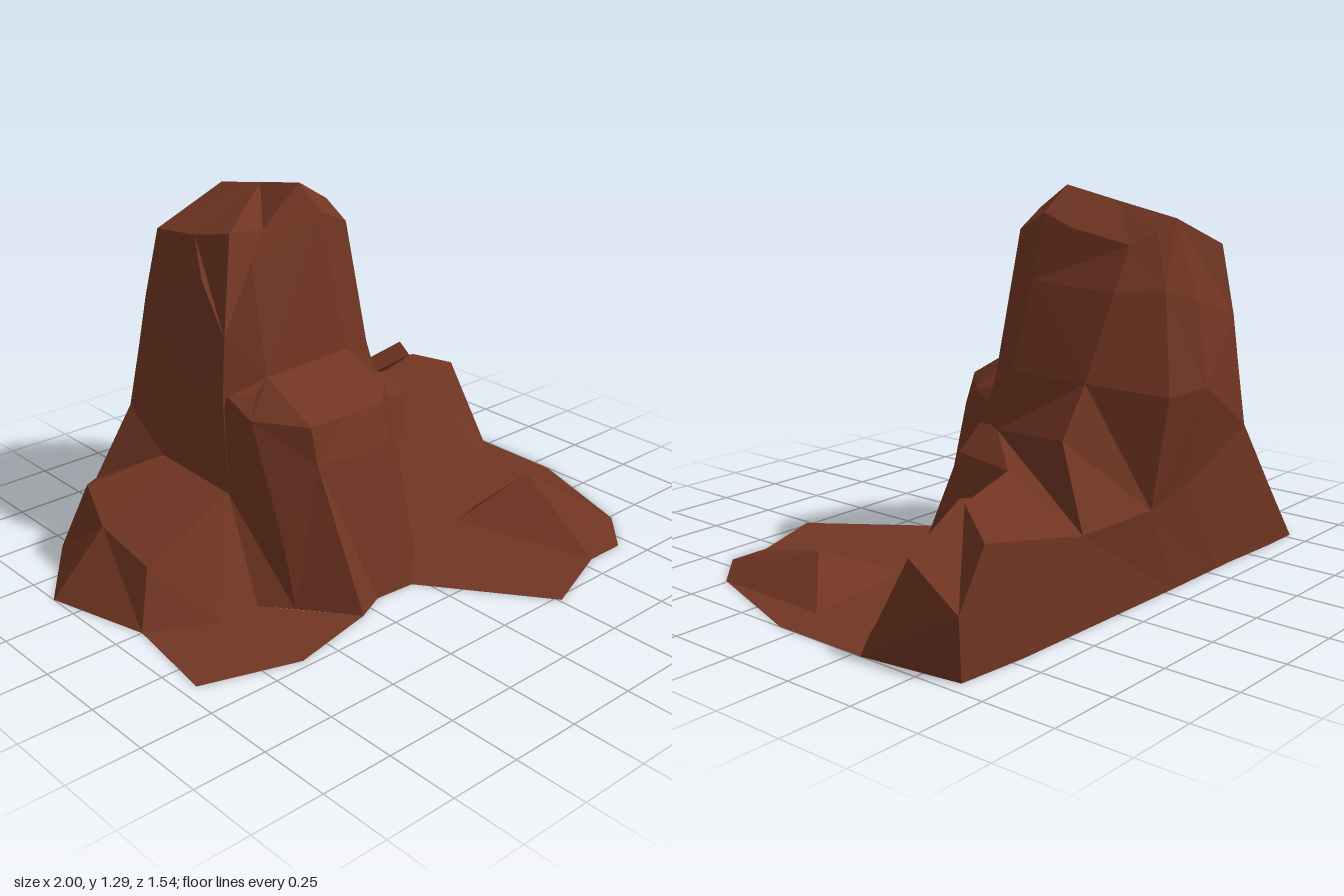
import * as THREE from 'three';

const rock = new THREE.MeshStandardMaterial({ color: 0x713522, flatShading: true, side: THREE.DoubleSide });

// Skin a stack of closed [x, y, z] loops (anticlockwise from above), closed by a fan to the apex.
// Faces for which open(row, column) is true are left out, where one mass runs into another.
function loft(name, loops, apex, open = () => false) {
  const out = [];
  const n = loops[0].length;
  for (let i = 0; i < loops.length; i++) {
    for (let j = 0; j < n; j++) {
      if (open(i, j)) continue;
      const k = (j + 1) % n;
      const a = loops[i][j], b = loops[i][k];
      if (i === loops.length - 1) {
        out.push(...a, ...b, ...apex);
      } else {
        const c = loops[i + 1][k], d = loops[i + 1][j];
        // alternate the diagonal for an irregular, chipped surface
        if ((i + j) % 2) out.push(...a, ...b, ...c, ...a, ...c, ...d);
        else out.push(...a, ...b, ...d, ...b, ...c, ...d);
      }
    }
  }
  const g = new THREE.BufferGeometry();
  g.setAttribute('position', new THREE.Float32BufferAttribute(out, 3));
  g.computeVertexNormals();
  const mesh = new THREE.Mesh(g, rock);
  mesh.name = name;
  return mesh;
}

// A loop lying on the ground, from [x, z] pairs
const ground = (pairs) => pairs.map(([x, z]) => [x, 0, z]);

export function createModel() {
  const model = new THREE.Group();
  model.name = 'rockOutcrop';

  // Tall central peak, overhanging slightly at the back, open where the lower masses join it
  model.add(loft('mainPeak', [
    [[-0.5, 0, 0.1], [-0.33, 0, 0.14], [0, 0, 0.15], [0.16, 0, 0.16], [0.41, 0.44, -0.34],
      [0.43, 0.3, -0.65], [-0.04, 0, -0.66], [-0.3, 0, -0.66], [-0.4, 0, -0.66], [-0.5, 0, -0.2]],
    [[-0.49, 0.34, -0.06], [-0.33, 0.48, 0.04], [0.02, 0.48, 0.04], [0.19, 0.45, -0.03], [0.31, 0.53, -0.21],
      [0.38, 0.56, -0.53], [0.12, 0.31, -0.68], [-0.06, 0.36, -0.69], [-0.47, 0.47, -0.65], [-0.51, 0.37, -0.4]],
    [[-0.47, 0.66, -0.1], [-0.33, 0.72, -0.04], [0.02, 0.73, -0.04], [0.15, 0.68, -0.07], [0.27, 0.72, -0.24],
      [0.27, 0.72, -0.53], [0.12, 0.68, -0.74], [-0.04, 0.69, -0.77], [-0.42, 0.68, -0.65], [-0.47, 0.66, -0.24]],
    [[-0.44, 0.86, -0.12], [-0.33, 1.1, -0.11], [-0.03, 1.21, -0.11], [0.1, 1.15, -0.13], [0.17, 1.0, -0.24],
      [0.17, 0.99, -0.56], [0.08, 1.0, -0.69], [-0.04, 0.96, -0.73], [-0.38, 0.86, -0.65], [-0.44, 1.03, -0.23]],
    [[-0.33, 1.17, -0.22], [-0.19, 1.16, -0.22], [-0.03, 1.29, -0.22], [0.1, 1.21, -0.23], [0.11, 1.17, -0.35],
      [0.09, 1.13, -0.56], [0.03, 1.17, -0.62], [-0.03, 1.21, -0.65], [-0.33, 1.1, -0.63], [-0.34, 1.13, -0.4]],
  ], [-0.03, 1.25, -0.43], (i, j) => (i === 0 && (j < 4 || j > 7)) || (i === 1 && j < 2)));

  // Lower buttress leaning on the front of the peak
  model.add(loft('frontButtress', [
    ground([[-0.52, 0.12], [-0.44, 0.22], [-0.3, 0.4], [-0.19, 0.35], [-0.04, 0.36], [0.15, 0.18], [0.2, -0.04]]),
    [[-0.49, 0.34, -0.06], [-0.44, 0.2, 0.17], [-0.33, 0.49, 0.21], [-0.19, 0.48, 0.23], [-0.03, 0.49, 0.23],
      [0.1, 0.5, 0.1], [0.17, 0.45, -0.02]],
    [[-0.45, 0.61, -0.12], [-0.44, 0.61, 0.01], [-0.33, 0.61, 0.18], [-0.19, 0.61, 0.18], [-0.02, 0.61, 0.18],
      [0.13, 0.6, 0.04], [0.16, 0.56, -0.06]],
    [[-0.44, 0.66, -0.12], [-0.38, 0.67, -0.04], [-0.33, 0.72, -0.04], [-0.19, 0.72, -0.04], [0.02, 0.73, -0.04],
      [0.08, 0.66, -0.04], [0.13, 0.62, -0.08]],
  ], [-0.18, 0.73, -0.1], (i, j) => j === 6));

  // Small spur between the buttress and the right ledge
  model.add(loft('rightSpur', [
    ground([[0.15, 0.18], [0.41, 0.09], [0.43, -0.2], [0.15, -0.2]]),
    [[0.16, 0.17, 0.08], [0.4, 0.14, 0.02], [0.42, 0.22, -0.25], [0.2, 0.3, -0.1]],
    [[0.19, 0.5, -0.03], [0.37, 0.45, -0.1], [0.41, 0.44, -0.34], [0.28, 0.54, -0.2]],
  ], [0.31, 0.53, -0.21], (i, j) => j > 1 && i < 2));

  // Broad flat-topped ledge on the right, its back wall running on behind the peak
  model.add(loft('rightLedge', [
    ground([[0.4, -0.17], [0.62, -0.17], [0.85, -0.17], [1, -0.28], [0.95, -0.63], [0.7, -0.65], [-0.04, -0.66]]),
    [[0.41, 0.44, -0.34], [0.55, 0.4, -0.4], [0.7, 0.43, -0.4], [0.95, 0.32, -0.43], [0.96, 0.2, -0.63],
      [0.85, 0.38, -0.63], [0.43, 0.3, -0.65]],
  ], [0.7, 0.42, -0.42], (i, j) => i === 0 && j === 6));

  // Low sloping lobe on the left
  model.add(loft('leftLobe', [
    ground([[-0.9, 0], [-0.68, 0.12], [-0.52, 0.12], [-0.4, -0.66], [-0.62, -0.67], [-0.78, -0.67], [-1, -0.37]]),
    [[-0.82, 0.18, -0.07], [-0.66, 0.26, -0.06], [-0.49, 0.34, -0.06], [-0.47, 0.47, -0.65], [-0.62, 0.22, -0.67],
      [-0.75, 0.29, -0.52], [-0.81, 0.22, -0.34]],
  ], [-0.51, 0.37, -0.4], (i, j) => i === 0 && j === 2));

  // Flat ground aprons at the front
  model.add(loft('rightApron', [
    ground([[0.26, 0.77], [0.55, 0.66], [0.7, 0.66], [0.85, 0.51], [1, 0.07], [1, -0.28],
      [0.85, -0.17], [0.41, -0.17], [0.16, 0.1], [-0.04, 0.36]]),
  ], [0.55, 0, 0.2]));
  model.add(loft('leftApron', [
    ground([[-0.95, 0.36], [-0.62, 0.47], [-0.3, 0.4], [-0.52, 0.12], [-0.68, 0.12], [-0.9, 0]]),
  ], [-0.64, 0, 0.25]));

  // Shallow mound on the right apron
  model.add(loft('mound', [
    ground([[0.41, 0.14], [0.55, 0.66], [0.7, 0.66], [0.85, 0.51], [0.85, 0.07], [0.55, 0.1]]),
  ], [0.7, 0.13, 0.22]));

  return model;
}
